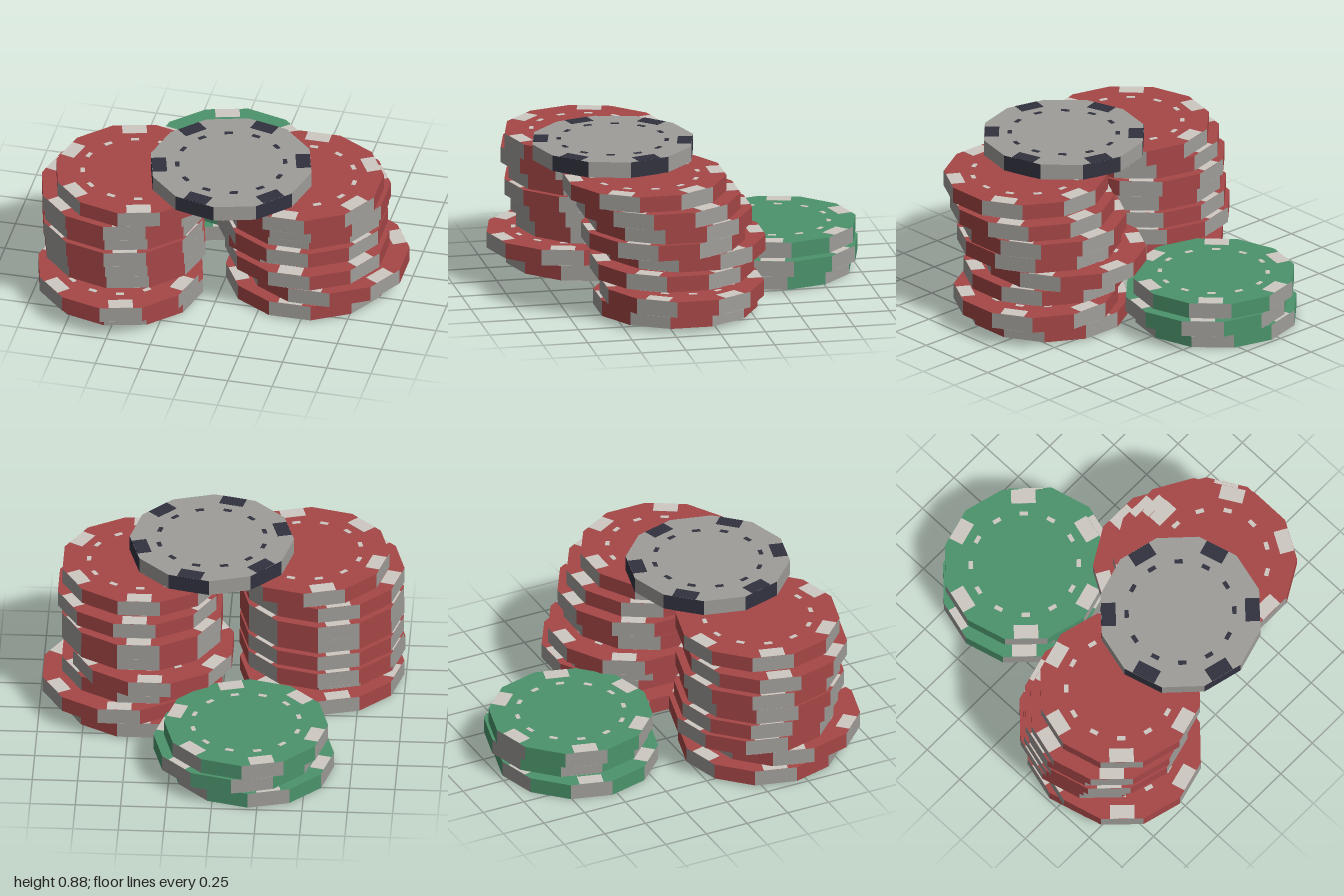
import * as THREE from 'three';
import { mergeGeometries } from 'three/addons/utils/BufferGeometryUtils.js';

const SIDES = 12, RADIUS = 0.453, HEIGHT = 0.089;
const APOTHEM = RADIUS * Math.cos(Math.PI / SIDES);

function material(name, color) {
  const m = new THREE.MeshStandardMaterial({ color });
  m.name = name;
  return m;
}

// Twelve-sided disc with alternating rim colours (0 = base, 1 = stripe)
function discGeometry() {
  const indexed = new THREE.CylinderGeometry(RADIUS, RADIUS, HEIGHT, SIDES, 1, false, -Math.PI / SIDES);
  const g = indexed.toNonIndexed();
  g.computeVertexNormals();
  g.clearGroups();
  for (let i = 0; i < SIDES; i++) g.addGroup(i * 6, 6, i % 2 ? 0 : 1);
  g.addGroup(SIDES * 6, SIDES * 6, 0);
  return g;
}

// Thin inlays on both faces: six edge blocks and a ring of twelve dashes
function inlayGeometry() {
  const parts = [];
  const plate = (w, d, r, i, side) => {
    const g = new THREE.BoxGeometry(w, 0.003, d);
    g.translate(0, side * HEIGHT / 2, r);
    g.rotateY(i * Math.PI * 2 / SIDES);
    parts.push(g);
  };
  for (const side of [-1, 1]) {
    for (let i = 0; i < SIDES; i++) {
      plate(0.046, 0.024, 0.297, i, side);
      if (i % 2 === 0) plate(0.135, 0.08, APOTHEM - 0.041, i, side);
    }
  }
  return mergeGeometries(parts);
}

export function createModel() {
  const red = material('red', 0xa64646);
  const grey = material('grey', 0x9f9d99);
  const cream = material('cream', 0xcdc8c1);
  const green = material('green', 0x4b936b);
  const navy = material('navy', 0x323240);

  const disc = discGeometry(), inlay = inlayGeometry();
  const model = new THREE.Group();
  model.name = 'chipStacks';

  function chip(parent, name, x, y, z, turn, base, stripe, mark) {
    const group = new THREE.Group();
    group.name = name;
    const body = new THREE.Mesh(disc, [base, stripe]);
    body.name = 'chipBody';
    const marks = new THREE.Mesh(inlay, mark);
    marks.name = 'chipInlays';
    group.add(body, marks);
    group.position.set(x, y + HEIGHT / 2, z);
    group.rotation.y = THREE.MathUtils.degToRad(turn);
    parent.add(group);
  }

  function stack(name, heights, centres, turn, base) {
    const group = new THREE.Group();
    group.name = name;
    centres.forEach(([x, z], i) => chip(group, name + 'Chip', x, heights[i], z, turn, base, grey, cream));
    model.add(group);
  }

  // Stacks, listed from the bottom chip up
  const tall = [0.01, 0.104, 0.22, 0.312, 0.403, 0.497, 0.59, 0.69];
  stack('rightRedStack', tall, [
    [-0.537, 0.435], [-0.537, 0.545], [-0.537, 0.38], [-0.537, 0.41],
    [-0.537, 0.445], [-0.537, 0.42], [-0.537, 0.465], [-0.455, 0.46],
  ], 15, red);
  stack('leftRedStack', tall, [
    [0.44, 0.14], [0.545, 0.125], [0.44, 0.16], [0.375, 0.08],
    [0.443, 0.21], [0.44, 0.17], [0.467, 0.24], [0.445, 0.315],
  ], 0, red);
  stack('greenStack', [0, 0.099, 0.19], [[-0.2, -0.53], [-0.11, -0.547], [-0.168, -0.547]], 15, green);

  // Grey chip bridging the two tall stacks
  chip(model, 'bridgeChip', 0.07, 0.783, 0.415, 46, grey, navy, navy);
  return model;
}
